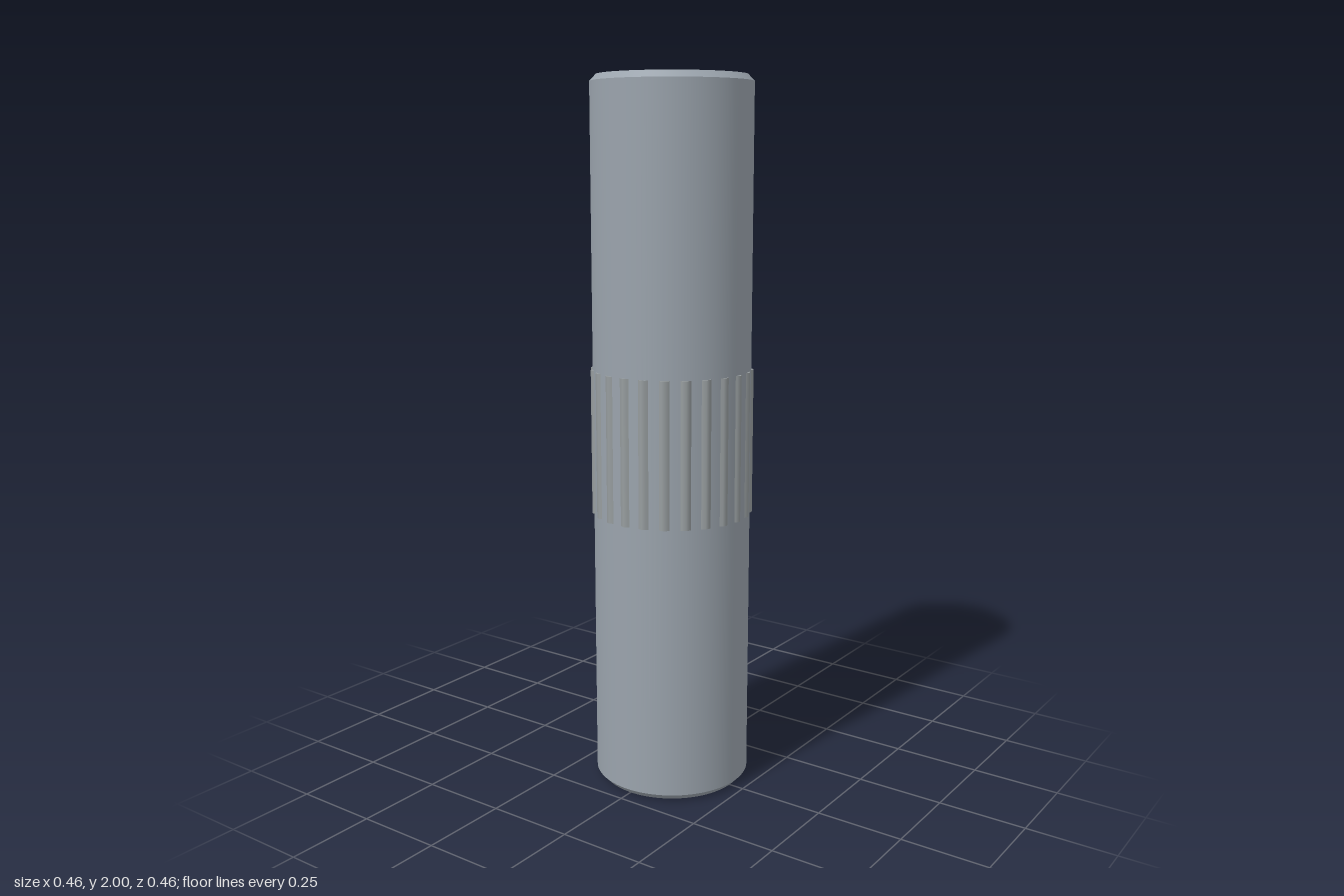
import * as THREE from 'three';

const steel = new THREE.MeshStandardMaterial({ color: 0x9aa3ac });
steel.name = 'steel grey';
const knurlSteel = new THREE.MeshStandardMaterial({ color: 0x979d9f });
knurlSteel.name = 'knurled steel grey';

const RADIUS = 0.222, CAP_RADIUS = 0.205, HEIGHT = 2, CHAMFER = 0.018;
const KNURL_HEIGHT = 0.41, TEETH = 24, TOOTH_MID = 0.222, TOOTH_DEPTH = 0.007;

function addMesh(group, name, geometry, material, y) {
  const mesh = new THREE.Mesh(geometry, material);
  mesh.name = name;
  mesh.position.y = y;
  group.add(mesh);
}

// Cylinder whose wall and end faces ripple in and out to form the teeth
function knurlGeometry() {
  const radiusAt = (a) => TOOTH_MID + TOOTH_DEPTH * Math.cos(TEETH * a);
  const geometry = new THREE.CylinderGeometry(1, 1, KNURL_HEIGHT, 128, 1);
  const pos = geometry.attributes.position, normal = geometry.attributes.normal;
  for (let i = 0; i < pos.count; i++) {
    const x = pos.getX(i), z = pos.getZ(i);
    const a = Math.atan2(z, x), r = radiusAt(a);
    pos.setX(i, x * r);
    pos.setZ(i, z * r);
    // Wall normals follow the slope of the ripple
    if (Math.abs(normal.getY(i)) < 0.5) {
      const slope = -TOOTH_DEPTH * TEETH * Math.sin(TEETH * a);
      const n = new THREE.Vector3(
        r * Math.cos(a) + slope * Math.sin(a), 0,
        r * Math.sin(a) - slope * Math.cos(a)).normalize();
      normal.setXYZ(i, n.x, n.y, n.z);
    }
  }
  return geometry;
}

export function createModel() {
  const pin = new THREE.Group();
  pin.name = 'groovedPin';

  // Plain shaft
  const shaftHeight = HEIGHT - 2 * CHAMFER;
  addMesh(pin, 'shaft',
    new THREE.CylinderGeometry(RADIUS, RADIUS, shaftHeight, 96, 1, true), steel, HEIGHT / 2);

  // Chamfered ends with flat caps
  for (const [name, side] of [['topEnd', 1], ['bottomEnd', -1]]) {
    const top = side > 0 ? CAP_RADIUS : RADIUS;
    const bottom = side > 0 ? RADIUS : CAP_RADIUS;
    addMesh(pin, name, new THREE.CylinderGeometry(top, bottom, CHAMFER, 96),
      steel, HEIGHT / 2 + side * (HEIGHT - CHAMFER) / 2);
  }

  // Toothed grip band around the middle
  addMesh(pin, 'knurledBand', knurlGeometry(), knurlSteel, HEIGHT / 2);
  return pin;
}
